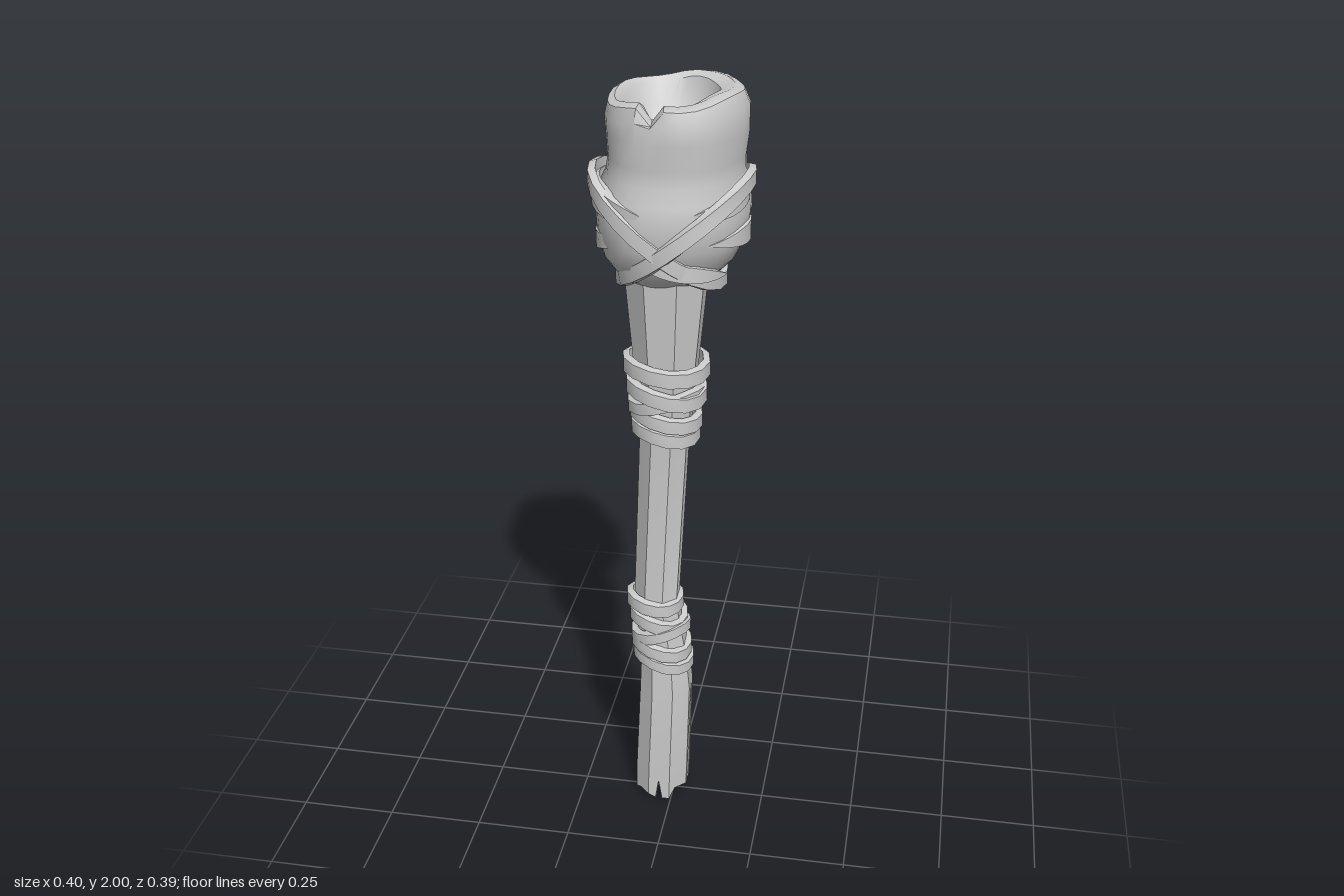
import * as THREE from 'three';
import { toCreasedNormals } from 'three/addons/utils/BufferGeometryUtils.js';

const material = new THREE.MeshStandardMaterial({ color: 0xcccccc, side: THREE.DoubleSide });
const V = (x, y, z) => new THREE.Vector3(x, y, z);
const TAU = Math.PI * 2;

// Skins a list of closed cross-sections that all have the same number of points.
function loft(rings, crease) {
  const n = rings[0].length, index = [];
  for (let i = 0; i < rings.length - 1; i++) {
    for (let j = 0; j < n; j++) {
      const k = (j + 1) % n;
      const a = i * n + j, b = i * n + k, c = a + n, d = b + n;
      index.push(a, c, b, b, c, d);
    }
  }
  const geo = new THREE.BufferGeometry().setFromPoints(rings.flat());
  geo.setIndex(index);
  return toCreasedNormals(geo, crease);
}

function add(parent, name, geometry) {
  const mesh = new THREE.Mesh(geometry, material);
  mesh.name = name;
  parent.add(mesh);
}

// Flat strap along path(t), its face turned away from the vertical axis at cx.
// Open straps taper to nothing at both ends.
function strap(path, from, to, cx, width, thickness, steps, taper = false) {
  const rings = [];
  for (let i = 0; i <= steps; i++) {
    const u = i / steps, t = from + (to - from) * u;
    const p = path(t);
    const T = path(t + 0.01).sub(path(t - 0.01)).normalize();
    const N = V(p.x - cx, 0, p.z);
    N.addScaledVector(T, -N.dot(T)).normalize();
    const W = N.clone().cross(T);
    const s = taper ? Math.max(0.03, Math.sin(Math.PI * u)) : 1;
    rings.push([[1, 0.8], [-1, 1], [-1, -1], [1, -0.8]].map(([a, b]) =>
      p.clone().addScaledVector(N, a * thickness * s / 2).addScaledVector(W, b * width * s / 2)));
  }
  return loft(rings, 0.7);
}

// Eight-sided bent shaft: y, centre x, radius
const SHAFT = [
  [0.01, -0.032, 0.076], [0.1, -0.03, 0.076], [0.36, -0.021, 0.073], [0.46, -0.024, 0.066],
  [0.62, -0.047, 0.061], [1.1, -0.025, 0.065], [1.3, -0.02, 0.082], [1.58, -0.018, 0.108],
];

function shaftRing(y, cx, r, inner = false) {
  const ring = [];
  for (let f = 0; f < 8; f++) {
    const mid = f * TAU / 8;
    for (const off of [-TAU / 16, -0.13, 0, 0.13]) {
      let rad = r * Math.cos(TAU / 16) / Math.cos(off), py = y;
      const low = Math.max(0, 1 - y / 0.36);
      // Long split on the left, short notch at the front
      if (f === 0 && off === 0) rad *= 1 - 0.4 * low;
      if (y < 0.05) {
        py += 0.012 * Math.sin(f * 2.3) + 0.012 + 0.012 * Math.cos(mid);
        if (off === 0 && (f === 2 || f === 0)) py += 0.06;
        if (off === 0 && f === 5) py += 0.02;
      }
      ring.push(V(cx + rad * Math.cos(mid + off), inner ? y : py, rad * Math.sin(mid + off) - 0.003));
    }
  }
  return ring;
}

function shaftGeometry() {
  const [y, cx, r] = SHAFT[0];
  // Recessed end grain, then the outside upward
  const rings = [
    shaftRing(0.055, cx, 0.0001, true), shaftRing(0.055, cx, r * 0.78, true), shaftRing(y, cx, r * 0.84),
    ...SHAFT.map(s => shaftRing(...s)),
  ];
  return loft(rings, 0.45);
}

// Padded head with a hollow top: y, radius, centre x, centre z
const HEAD = [
  [1.54, 0.095, -0.018, 0], [1.57, 0.135, -0.016, 0], [1.6, 0.16, -0.012, 0],
  [1.65, 0.178, -0.008, 0], [1.71, 0.185, -0.006, 0], [1.76, 0.179, -0.004, 0],
  [1.8, 0.165, 0, 0], [1.84, 0.162, 0.003, 0.002], [1.9, 0.167, 0.006, 0.002],
  [1.95, 0.168, 0.006, 0], [1.982, 0.157, 0.004, 0], [1.99, 0.138, 0, -0.005],
  [1.975, 0.112, -0.008, -0.014], [1.92, 0.097, -0.01, -0.018], [1.895, 0.075, -0.01, -0.018],
  [1.89, 0.0001, -0.01, -0.018],
];

function headGeometry() {
  const n = 28, notch = 8;
  return loft(HEAD.map(([y, r, cx, cz], i) => {
    const ring = [];
    for (let j = 0; j < n; j++) {
      const t = j / n * TAU;
      let rad = r * (1 + 0.018 * Math.sin(3 * t + 5 * y) + 0.014 * Math.sin(5 * t - 9 * y));
      let py = y;
      if (i > 8 && i < 13) {
        // Uneven rim, lower on the right, with a tear at the front
        py += 0.012 * Math.cos(t) - 0.006 * Math.sin(t) + 0.005 * Math.sin(4 * t);
        if (j === notch) {
          py -= i === 9 ? 0.01 : 0.04;
          rad *= i < 12 ? 0.94 : 1.03;
        }
      }
      ring.push(V(cx + rad * Math.cos(t), Math.min(py, 2), cz + rad * Math.sin(t)));
    }
    return ring;
  }), 0.75);
}

export function createModel() {
  const model = new THREE.Group();
  model.name = 'torch';
  add(model, 'shaft', shaftGeometry());
  add(model, 'head', headGeometry());

  // Cloth folds on the head: start angle, end angle, y, slope, radius, width
  const folds = new THREE.Group();
  folds.name = 'clothFolds';
  model.add(folds);
  [
    [-0.9, 0.9, 1.665, 0, 0.178, 0.06],
    [1.5, 3.6, 1.75, 0.03, 0.178, 0.07],
    [2.0, 4.0, 1.635, -0.03, 0.168, 0.055],
    [0.4, 2.1, 1.6, 0.03, 0.157, 0.05],
    [3.9, 5.9, 1.72, -0.04, 0.179, 0.07],
    [4.4, 6.0, 1.62, 0.03, 0.165, 0.05],
    [-0.6, 1.4, 1.755, -0.03, 0.177, 0.06],
  ].forEach(([from, to, y, slope, r, width]) => {
    const mid = (from + to) / 2;
    const path = t => V(-0.007 + r * Math.cos(t), y + slope * (t - mid), r * Math.sin(t));
    add(folds, 'clothFold', strap(path, from, to, -0.007, width, 0.024, 12, true));
  });

  // Two tilted loops that cross at the front and back of the head
  for (const side of [1, -1]) {
    const cx = side * 0.032 - 0.005;
    const path = t => V(cx + side * 0.157 * Math.cos(t), 1.668 + 0.125 * Math.cos(t),
      (0.183 + side * 0.004) * Math.sin(t));
    add(model, side > 0 ? 'headStrapLeft' : 'headStrapRight',
      strap(path, 0, TAU, cx, 0.042, 0.018, 22));
  }

  // Grip bindings: y, centre x, radius, tilt, tilt direction, width
  const bindings = {
    upperBinding: [
      [1.305, -0.02, 0.101, 0.006, 2.8, 0.046], [1.247, -0.02, 0.094, 0.016, 3.6, 0.044],
      [1.215, -0.021, 0.089, 0.022, 0.6, 0.036], [1.17, -0.021, 0.084, 0.016, 2.6, 0.042],
      [1.135, -0.022, 0.08, 0.01, 3.3, 0.042],
    ],
    lowerBinding: [
      [0.625, -0.051, 0.068, 0.006, 2.6, 0.042], [0.577, -0.042, 0.07, 0.014, 3.4, 0.04],
      [0.535, -0.036, 0.072, 0.018, 0.5, 0.036], [0.492, -0.034, 0.073, 0.014, 3.1, 0.04],
      [0.452, -0.029, 0.074, 0.016, 2.9, 0.036],
    ],
  };
  for (const [name, loops] of Object.entries(bindings)) {
    const group = new THREE.Group();
    group.name = name;
    model.add(group);
    for (const [y, cx, r, tilt, dir, width] of loops) {
      const path = t => V(cx + r * Math.cos(t),
        y + tilt * Math.cos(t - dir) + 0.005 * Math.sin(2 * t + dir), r * Math.sin(t) - 0.003);
      add(group, 'bindingLoop', strap(path, 0, TAU, cx, width, 0.017, 14));
    }
  }
  return model;
}
